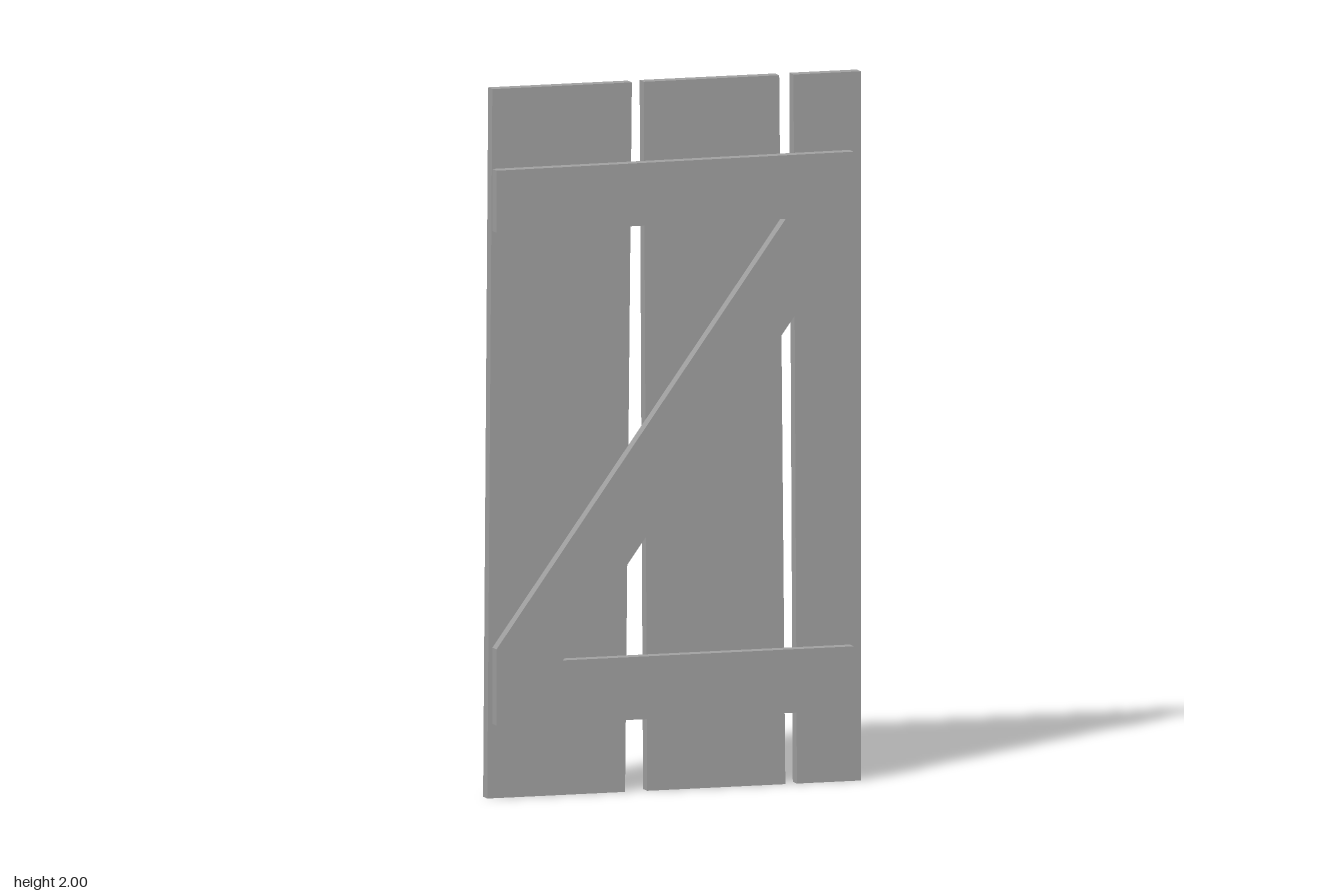
import * as THREE from 'three';

const T = 0.037; // thickness of every board

export function createModel() {
  const door = new THREE.Group();
  door.name = 'plankDoor';
  const wood = new THREE.MeshStandardMaterial({ color: 0xa0a0a0 });
  wood.name = 'plain grey';

  // A flat board cut to an outline of [x, y] corners, with its back at z
  function board(name, corners, z) {
    const shape = new THREE.Shape(corners.map(([x, y]) => new THREE.Vector2(x, y)));
    const geometry = new THREE.ExtrudeGeometry(shape, { depth: T, bevelEnabled: false });
    const mesh = new THREE.Mesh(geometry, wood);
    mesh.name = name;
    mesh.position.z = z;
    door.add(mesh);
  }

  // Upright planks, slightly tapered: bottom left, bottom right, top right, top left
  const planks = [
    ['rightPlank', -0.55, -0.145, -0.125, -0.535],
    ['middlePlank', -0.08, 0.326, 0.308, -0.09],
    ['leftPlank', 0.36, 0.548, 0.548, 0.35],
  ];
  for (const [name, bl, br, tr, tl] of planks) {
    board(name, [[bl, 0], [br, 0], [tr, 2], [tl, 2]], -T);
  }

  // Z-shaped bracing on the front
  board('topRail', [[-0.535, 1.6], [0.515, 1.6], [0.515, 1.78], [-0.535, 1.775]], 0);
  board('bottomRail', [[-0.535, 0.21], [0.51, 0.205], [0.515, 0.385], [-0.535, 0.385]], 0);
  board('diagonalBrace', [
    [-0.535, 0.385], [-0.34, 0.385], [0.515, 1.565],
    [0.515, 1.6], [0.315, 1.6], [-0.535, 0.425],
  ], 0);

  return door;
}
